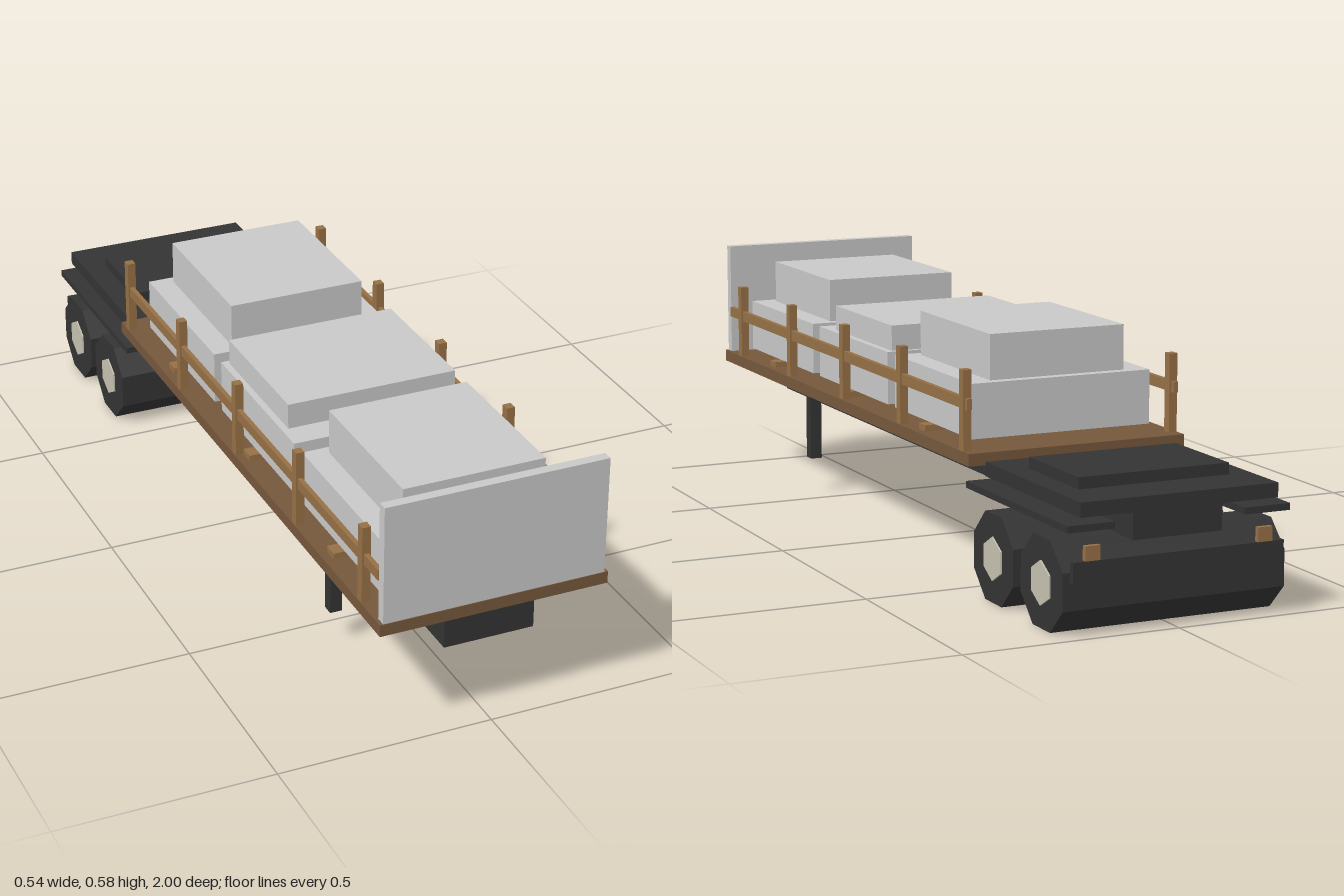
import * as THREE from 'three';

const mat = (name, color) => {
  const m = new THREE.MeshStandardMaterial({ color });
  m.name = name;
  return m;
};

export function createModel() {
  const model = new THREE.Group();
  model.name = 'flatbedTrailer';
  const dark = mat('darkMetal', 0x343434);
  const planks = mat('deckWood', 0x76583c);
  const wood = mat('fenceWood', 0x977146);
  const grey = mat('lightGrey', 0xc9c9c9);
  const hubMat = mat('hubCream', 0xc6c2b0);

  // Box given by its extents along each axis
  const box = (name, m, [x0, x1], [y0, y1], [z0, z1]) => {
    const mesh = new THREE.Mesh(new THREE.BoxGeometry(x1 - x0, y1 - y0, z1 - z0), m);
    mesh.position.set((x0 + x1) / 2, (y0 + y1) / 2, (z0 + z1) / 2);
    mesh.name = name;
    model.add(mesh);
  };
  // Same box on both sides of the centre line
  const pair = (name, m, [x0, x1], y, z) => {
    box(name + 'Left', m, [x0, x1], y, z);
    box(name + 'Right', m, [-x1, -x0], y, z);
  };
  // Faceted cylinder lying along x
  const roller = (name, m, radius, length, sides, turn, x, y, z) => {
    const g = new THREE.CylinderGeometry(radius, radius, length, sides);
    g.rotateY(turn).rotateZ(Math.PI / 2);
    const mesh = new THREE.Mesh(g.toNonIndexed(), m);
    mesh.geometry.computeVertexNormals();
    mesh.position.set(x, y, z);
    mesh.name = name;
    model.add(mesh);
  };

  // Deck, headboard and chassis
  box('deck', planks, [-0.268, 0.268], [0.279, 0.307], [-0.53, 1]);
  box('headboard', grey, [-0.26, 0.26], [0.307, 0.585], [0.974, 0.998]);
  box('chassisBeam', dark, [-0.106, 0.106], [0.196, 0.279], [-0.988, 0.975]);
  pair('landingLeg', dark, [0.171, 0.2], [0.087, 0.279], [0.568, 0.597]);

  // Tail platform, fenders, bumper and lights
  box('tailPlate', dark, [-0.234, 0.234], [0.258, 0.29], [-1, -0.545]);
  box('couplingPlate', dark, [-0.18, 0.18], [0.29, 0.316], [-0.885, -0.65]);
  pair('fender', dark, [0.154, 0.264], [0.228, 0.243], [-1, -0.508]);
  box('bumper', dark, [-0.25, 0.25], [0.12, 0.165], [-1, -0.985]);
  pair('tailLight', wood, [0.187, 0.222], [0.165, 0.197], [-1, -0.988]);

  // Wheels with hub plates
  for (const z of [-0.648, -0.882]) {
    roller('wheel', dark, 0.0985 / Math.cos(Math.PI / 8), 0.528, 8, Math.PI / 8, 0, 0.0985, z);
    for (const s of [-1, 1]) roller('hub', hubMat, 0.049, 0.006, 6, Math.PI / 6, s * 0.2645, 0.0985, z);
  }

  // Side fences
  for (let i = 0; i < 5; i++) {
    const z = 0.893 - i * 0.345;
    pair('fencePost', wood, [0.246, 0.266], [0.307, 0.488], [z - 0.011, z + 0.011]);
  }
  pair('fenceRail', wood, [0.251, 0.262], [0.4, 0.425], [-0.51, 0.974]);

  // Cargo stacks on skids: centre z, upper half width, upper top, upper z range
  const cargo = [
    [0.703, 0.167, 0.55, [0.512, 0.888]],
    [0.234, 0.206, 0.506, [0.033, 0.378]],
    [-0.235, 0.167, 0.55, [-0.425, -0.047]],
  ];
  for (const [z, w, top, zr] of cargo) {
    box('skid', wood, [-0.248, 0.248], [0.307, 0.321], [z - 0.018, z + 0.018]);
    box('lowerCrate', grey, [-0.222, 0.222], [0.321, 0.446], [z - 0.213, z + 0.213]);
    box('upperCrate', grey, [-w, w], [0.446, top], zr);
  }
  return model;
}
